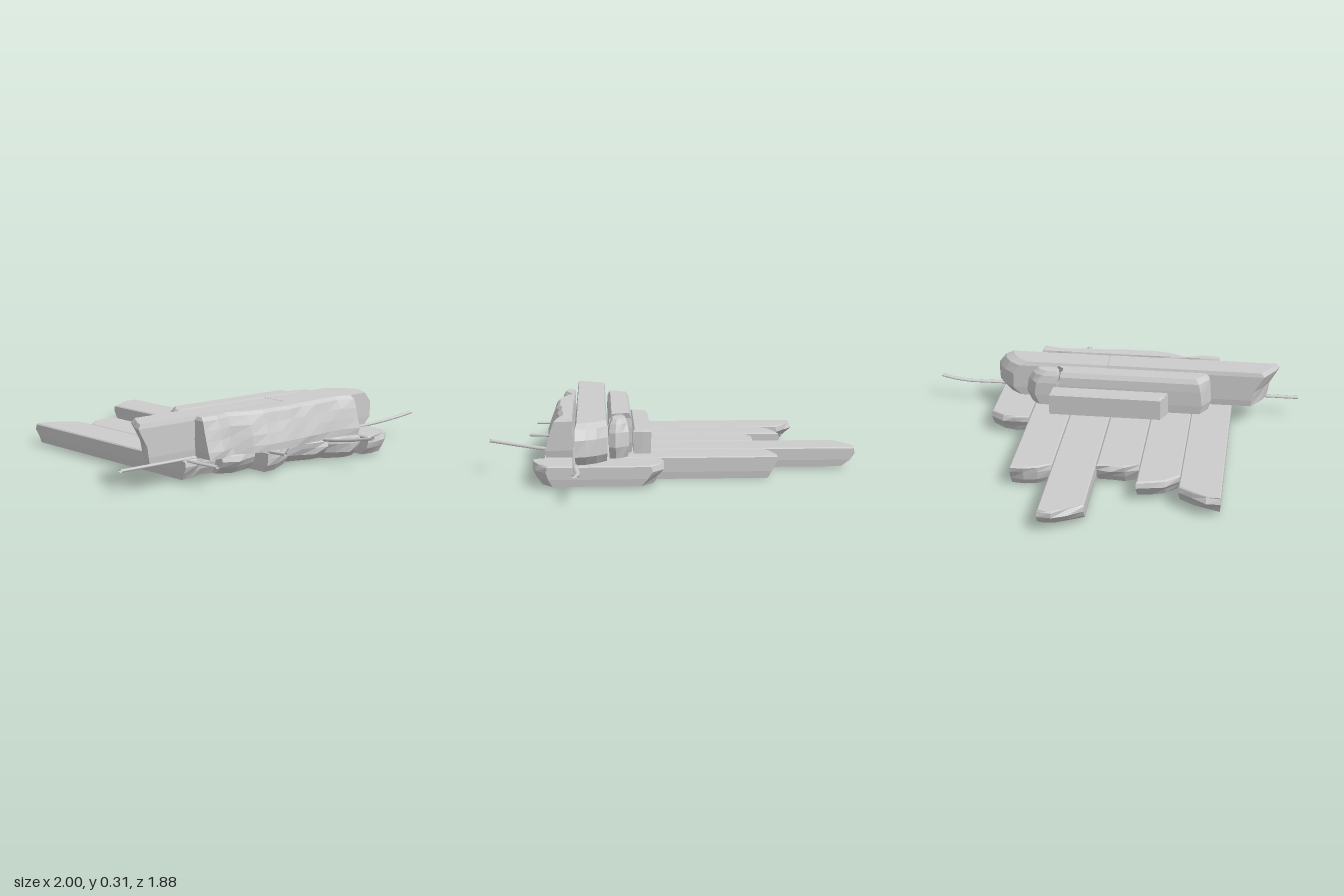
import * as THREE from 'three';

const stone = new THREE.MeshStandardMaterial({ color: 0xcccccc, flatShading: true });
const metal = new THREE.MeshStandardMaterial({ color: 0xcccccc, side: THREE.DoubleSide });

// Small seeded noise in -1..1
let seed = 7;
const noise = () => {
  seed = (seed * 16807) % 2147483647;
  return (seed / 2147483647) * 2 - 1;
};

// Broken block built from stacked outlines.
// u0..u1 is its width; start and end list the broken edges' positions, evenly spaced across the width.
// layers: [y, sideInset, startShift, endShift]. alongX swaps the axes so the block runs along x.
function block(name, u0, u1, start, end, layers, { alongX = false, rough = 0.006 } = {}) {
  const rings = layers.map(([y, inset, s, e], k) => {
    const edge = (list, shift) => list.map((v, i) => {
      const t = i / (list.length - 1);
      const r = k === layers.length - 1 ? 0 : noise() * rough;
      return [THREE.MathUtils.lerp(u0 + inset, u1 - inset, t), v + shift + r];
    });
    let ring = [...edge(start, s), ...edge(end, e).reverse()];
    if (alongX) ring = ring.map(([u, v]) => [v, u]).reverse();
    return ring.map(([x, z]) => new THREE.Vector3(x, y, z));
  });
  const pos = [];
  const tri = (...pts) => pts.forEach((p) => pos.push(p.x, p.y, p.z));
  // Walls
  for (let k = 0; k + 1 < rings.length; k++) {
    const a = rings[k], b = rings[k + 1], n = a.length;
    for (let i = 0; i < n; i++) {
      const j = (i + 1) % n;
      tri(a[i], b[i], a[j]);
      tri(b[i], b[j], a[j]);
    }
  }
  // Bottom and top caps
  [[rings[0], -1], [rings[rings.length - 1], 1]].forEach(([ring, up]) => {
    const flat = ring.map((p) => new THREE.Vector2(p.x, p.z));
    THREE.ShapeUtils.triangulateShape(flat, []).forEach(([i, j, k]) => {
      const [a, b, c] = [ring[i], ring[j], ring[k]];
      const ny = (b.z - a.z) * (c.x - a.x) - (b.x - a.x) * (c.z - a.z);
      if (ny * up > 0) tri(a, b, c); else tri(a, c, b);
    });
  });
  const geo = new THREE.BufferGeometry();
  geo.setAttribute('position', new THREE.Float32BufferAttribute(pos, 3));
  geo.computeVertexNormals();
  const mesh = new THREE.Mesh(geo, stone);
  mesh.name = name;
  return mesh;
}

// Flattened bent bar through the given points
function bar(name, points) {
  const flat = 0.6;
  const path = new THREE.CatmullRomCurve3(points.map(([x, y, z]) => new THREE.Vector3(x, y / flat, z)));
  const mesh = new THREE.Mesh(new THREE.TubeGeometry(path, 24, 0.014, 6), metal);
  mesh.scale.y = flat;
  mesh.name = name;
  return mesh;
}

export function createModel() {
  const model = new THREE.Group();

  // Floor planks: x range, back edge, front edge, bottom height, back and front undercut
  const planks = new THREE.Group();
  planks.name = 'floorPlanks';
  [
    [-0.64, -0.43, [-0.71, -0.70, -0.66, -0.61], [0.53, 0.53, 0.50, 0.51], 0.015, 0.06, -0.03],
    [-0.43, -0.22, [-0.50, -0.56, -0.58, -0.595], [0.56, 0.60, 0.58, 0.57], 0.015, 0.06, -0.05],
    [-0.218, -0.003, [-0.41, -0.435, -0.435, -0.43], [0.66, 0.655, 0.62, 0.58], 0.01, 0.04, -0.04],
    [0, 0.215, [-0.86, -0.90, -0.935, -0.94], [0.57, 0.60, 0.63, 0.63], 0.012, 0.07, -0.05],
    [0.218, 0.425, [-0.46, -0.495, -0.51, -0.51], [0.58, 0.63, 0.665, 0.66], 0, 0.05, -0.06],
    [0.43, 0.64, [0.07, 0.06, 0.07, 0.13], [0.71, 0.715, 0.69, 0.64], 0.012, 0.05, -0.04],
  ].forEach(([x0, x1, back, front, y, b, f], i) => {
    planks.add(block('floorPlank' + (i + 1), x0, x1, back, front, [
      [y, 0.004, b, f],
      [y + 0.035, 0, b * 0.5, f * 0.3],
      [0.08, 0, 0, 0],
      [0.106, 0, 0.005, -0.005],
      [0.112, 0.006, 0.012, -0.01],
    ], { rough: 0.009 }));
  });
  model.add(planks);

  // Front block with a ragged, sloping face
  model.add(block('frontBlock', -0.56, 0.43,
    Array(12).fill(0.512),
    [0.61, 0.62, 0.585, 0.63, 0.65, 0.645, 0.65, 0.635, 0.635, 0.625, 0.625, 0.65],
    [[0.115, 0.006, 0, 0], [0.15, 0, 0, 0], [0.2, 0, 0, -0.015], [0.25, 0, 0, -0.03],
      [0.295, 0, 0, -0.045], [0.312, 0.008, 0.004, -0.062]], { rough: 0.005 }));

  const alongX = true;

  // Long middle beam, split in two
  model.add(block('longBeamRight', 0.345, 0.5, [-0.81, -0.84, -0.87, -0.89], Array(4).fill(0.038),
    [[0.115, 0.004, 0.065, 0], [0.15, 0, 0.06, 0], [0.2, 0, 0.05, 0], [0.25, 0, 0.02, 0],
      [0.29, 0, 0, 0], [0.312, 0.006, 0.015, 0]], { alongX, rough: 0.003 }));
  model.add(block('longBeamLeft', 0.342, 0.5, Array(4).fill(0.042), [0.56, 0.62, 0.65, 0.665],
    [[0.115, 0.004, 0, -0.04], [0.16, 0, 0, 0], [0.24, 0, 0, 0],
      [0.29, 0, 0, -0.035], [0.312, 0.008, 0, -0.08]], { alongX, rough: 0.004 }));

  // Shorter beam behind, with its end chunk broken off
  model.add(block('shortBeam', 0.215, 0.335, [-0.48, -0.50, -0.525, -0.53], [0.28, 0.27, 0.275, 0.31],
    [[0.112, 0.004, 0.01, 0.02], [0.16, 0, 0, 0.02], [0.24, 0, 0, 0.01],
      [0.285, 0.003, 0.01, 0], [0.31, 0.016, 0.03, 0]], { alongX }));
  model.add(block('shortBeamChunk', 0.235, 0.335, [0.305, 0.295, 0.30, 0.32], [0.42, 0.455, 0.475, 0.46],
    [[0.112, 0.004, 0, -0.02], [0.17, 0, 0, 0], [0.24, 0, 0, -0.01],
      [0.28, 0.008, 0, -0.035], [0.303, 0.02, 0, -0.06]], { alongX }));

  // Low rear step
  model.add(block('rearStep', 0.12, 0.213, [-0.27, -0.29, -0.305], [0.325, 0.325, 0.322],
    [[0.112, 0.003, 0, 0], [0.222, 0, 0, 0], [0.235, 0.01, 0.008, -0.006]], { alongX, rough: 0.002 }));

  // Bent reinforcing bars
  const bars = new THREE.Group();
  bars.name = 'reinforcingBars';
  bars.add(
    bar('crossBar', [[-1, 0.113, 0.503], [-0.4, 0.113, 0.505], [0.3, 0.113, 0.505],
      [0.68, 0.115, 0.497], [0.88, 0.122, 0.485], [1, 0.14, 0.497]]),
    bar('frontBarRight', [[-0.615, 0.11, 0.42], [-0.615, 0.11, 0.6], [-0.61, 0.112, 0.73]]),
    bar('frontBarMiddle', [[-0.2, 0.113, 0.45], [-0.2, 0.113, 0.62], [-0.2, 0.118, 0.755]]),
    bar('frontBarLeft', [[0.2, 0.113, 0.48], [0.2, 0.117, 0.65], [0.198, 0.135, 0.78], [0.218, 0.165, 0.935]]),
  );
  model.add(bars);
  return model;
}
